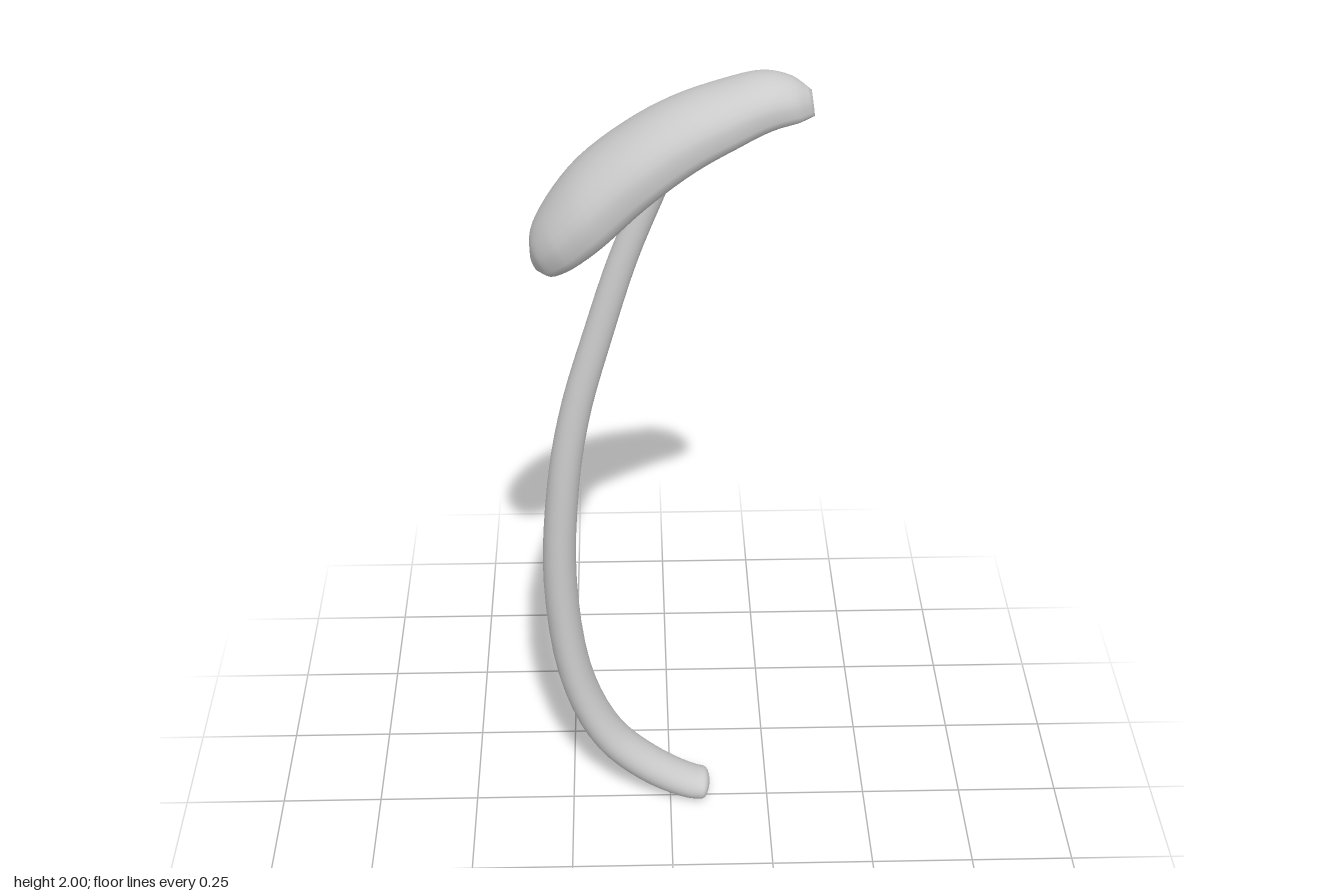
import * as THREE from 'three';

const SIDES = 28;

// Skin a list of closed rings (counter-clockwise about the direction of travel), closing both ends
function loft(rings) {
  const pos = [], index = [], n = SIDES;
  rings.forEach(r => r.forEach(p => pos.push(p.x, p.y, p.z)));
  for (let i = 0; i < rings.length - 1; i++) {
    for (let j = 0; j < n; j++) {
      const k = (j + 1) % n;
      const a = i * n + j, b = i * n + k, c = b + n, d = a + n;
      index.push(a, b, c, a, c, d);
    }
  }
  [0, rings.length - 1].forEach(e => {
    const mid = new THREE.Vector3();
    rings[e].forEach(p => mid.addScaledVector(p, 1 / n));
    const m = pos.length / 3;
    pos.push(mid.x, mid.y, mid.z);
    for (let j = 0; j < n; j++) {
      const a = e * n + j, b = e * n + (j + 1) % n;
      if (e === 0) index.push(m, b, a);
      else index.push(m, a, b);
    }
  });
  const g = new THREE.BufferGeometry();
  g.setAttribute('position', new THREE.Float32BufferAttribute(pos, 3));
  g.setIndex(index);
  g.computeVertexNormals();
  return g;
}

const spline = pts => new THREE.CatmullRomCurve3(pts.map(p => new THREE.Vector3(p[0], p[1], p[2] || 0)));
const ring = fn => Array.from({ length: SIDES }, (_, j) => fn(j / SIDES * Math.PI * 2));

// Curved stalk: x, y, centre z, in-plane radius, z radius
function stalkGeometry() {
  const stations = [
    [0.1, 0.035, -0.007, 0.035, 0.047], [0.05, 0.045, -0.007, 0.041, 0.05],
    [-0.05, 0.105, -0.006, 0.044, 0.052], [-0.155, 0.215, -0.005, 0.043, 0.054],
    [-0.23, 0.4, -0.005, 0.041, 0.055], [-0.264, 0.7, -0.001, 0.04, 0.051],
    [-0.248, 1.0, 0.009, 0.037, 0.041], [-0.215, 1.2, 0.01, 0.035, 0.035],
    [-0.16, 1.4, 0.008, 0.033, 0.031], [-0.098, 1.6, 0.006, 0.031, 0.029],
    [-0.025, 1.78, 0.004, 0.028, 0.029], [-0.005, 1.83, 0.003, 0.025, 0.026],
  ];
  const path = spline(stations);
  const radii = spline(stations.map(s => [s[3], s[4]]));
  const ts = [0, 0.002, 0.006, 0.012, 0.02, 0.03];
  for (let i = 2; i <= 48; i++) ts.push(i / 48);
  return loft(ts.map(t => {
    const c = path.getPoint(t), d = path.getTangent(t), r = radii.getPoint(t);
    const u = Math.min(1, t / 0.03);                       // rounded foot
    const f = Math.sqrt(Math.max(0.03, 1 - (1 - u) ** 2));
    return ring(a => new THREE.Vector3(
      c.x - d.y * r.x * f * Math.cos(a),
      c.y + d.x * r.x * f * Math.cos(a),
      c.z + r.y * f * Math.sin(a)));
  }));
}

// Bean-shaped head: upper edge x, y, lower edge x, y, half width, centre z
function headGeometry() {
  const stations = [
    [-0.302, 1.595, -0.285, 1.56, 0.022, 0], [-0.3, 1.65, -0.25, 1.555, 0.066, 0],
    [-0.268, 1.717, -0.2, 1.583, 0.102, 0], [-0.2, 1.805, -0.13, 1.64, 0.119, -0.001],
    [-0.1, 1.885, -0.04, 1.728, 0.117, -0.003], [0, 1.942, 0.06, 1.805, 0.106, -0.006],
    [0.1, 1.978, 0.14, 1.85, 0.094, -0.01], [0.19, 1.999, 0.21, 1.884, 0.079, -0.013],
    [0.25, 1.987, 0.268, 1.896, 0.056, -0.016], [0.29, 1.96, 0.298, 1.905, 0.022, -0.017],
  ];
  const upper = spline(stations.map(s => [s[0], s[1]]));
  const lower = spline(stations.map(s => [s[2], s[3]]));
  const width = spline(stations.map(s => [s[4], s[5]]));
  const rings = [];
  for (let i = 0; i <= 36; i++) {
    const t = i / 36;
    const top = upper.getPoint(t), bot = lower.getPoint(t), w = width.getPoint(t);
    const groove = 0.95 * Math.sin(Math.PI * t) ** 0.6;    // furrow along the underside
    rings.push(ring(a => {
      const z = Math.sin(a);
      let v = Math.cos(a);
      if (v < 0) v = -(Math.abs(v) ** 0.65) * (1 - groove * Math.exp(-((z / 0.42) ** 2)));
      const p = bot.clone().lerp(top, 0.5 + v / 2);
      p.z = w.y + w.x * z;
      return p;
    }));
  }
  return loft(rings);
}

export function createModel() {
  const group = new THREE.Group();
  group.name = 'stamen';
  const material = new THREE.MeshStandardMaterial({ color: 0xcccccc });
  const add = (name, geometry) => {
    const mesh = new THREE.Mesh(geometry, material);
    mesh.name = name;
    group.add(mesh);
  };
  add('filament', stalkGeometry());
  add('anther', headGeometry());
  return group;
}
